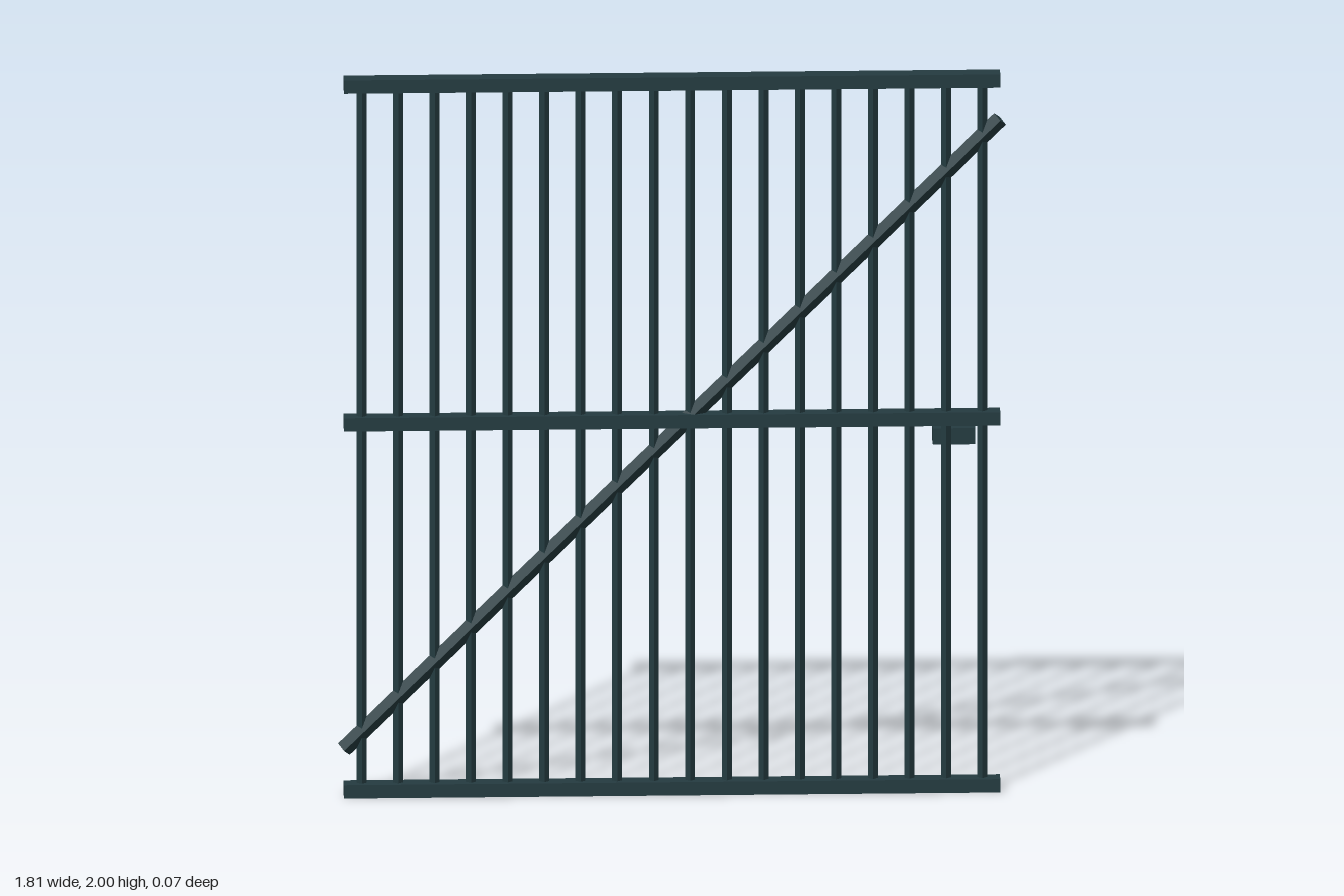
import * as THREE from 'three';

export function createModel() {
  const gate = new THREE.Group();
  gate.name = 'barredGate';
  const steel = new THREE.MeshStandardMaterial({ color: 0x243b40, flatShading: true });
  steel.name = 'dark green steel';
  const Z = 0.008; // middle plane of the gate, the latch sticks out behind it

  function add(name, geometry, x, y, z = Z) {
    const mesh = new THREE.Mesh(geometry, steel);
    mesh.name = name;
    mesh.position.set(x, y, z);
    gate.add(mesh);
    return mesh;
  }

  // Horizontal rails
  const rail = new THREE.BoxGeometry(1.776, 0.037, 0.056);
  add('bottomRail', rail, 0, 0.0185);
  add('middleRail', new THREE.BoxGeometry(1.776, 0.037, 0.052), 0, 1.04);
  add('topRail', rail, 0, 1.9815);

  // Upright square bars, set corner to the front
  const count = 18;
  const bar = new THREE.CylinderGeometry(0.0135, 0.0135, 1.96, 4);
  for (let i = 0; i < count; i++) {
    add('uprightBar', bar, -0.84 + (1.68 * i) / (count - 1), 1);
  }

  // Diagonal brace, rising towards the left end
  const dx = 1.776, dy = 1.738;
  const brace = add('diagonalBrace',
    new THREE.CylinderGeometry(0.0225, 0.0225, Math.hypot(dx, dy), 4), 0, 1);
  brace.rotation.z = -Math.atan2(dx, dy);

  // Latch block behind the bars
  add('latch', new THREE.BoxGeometry(0.116, 0.045, 0.044), 0.764, 0.986, -0.015);

  return gate;
}
